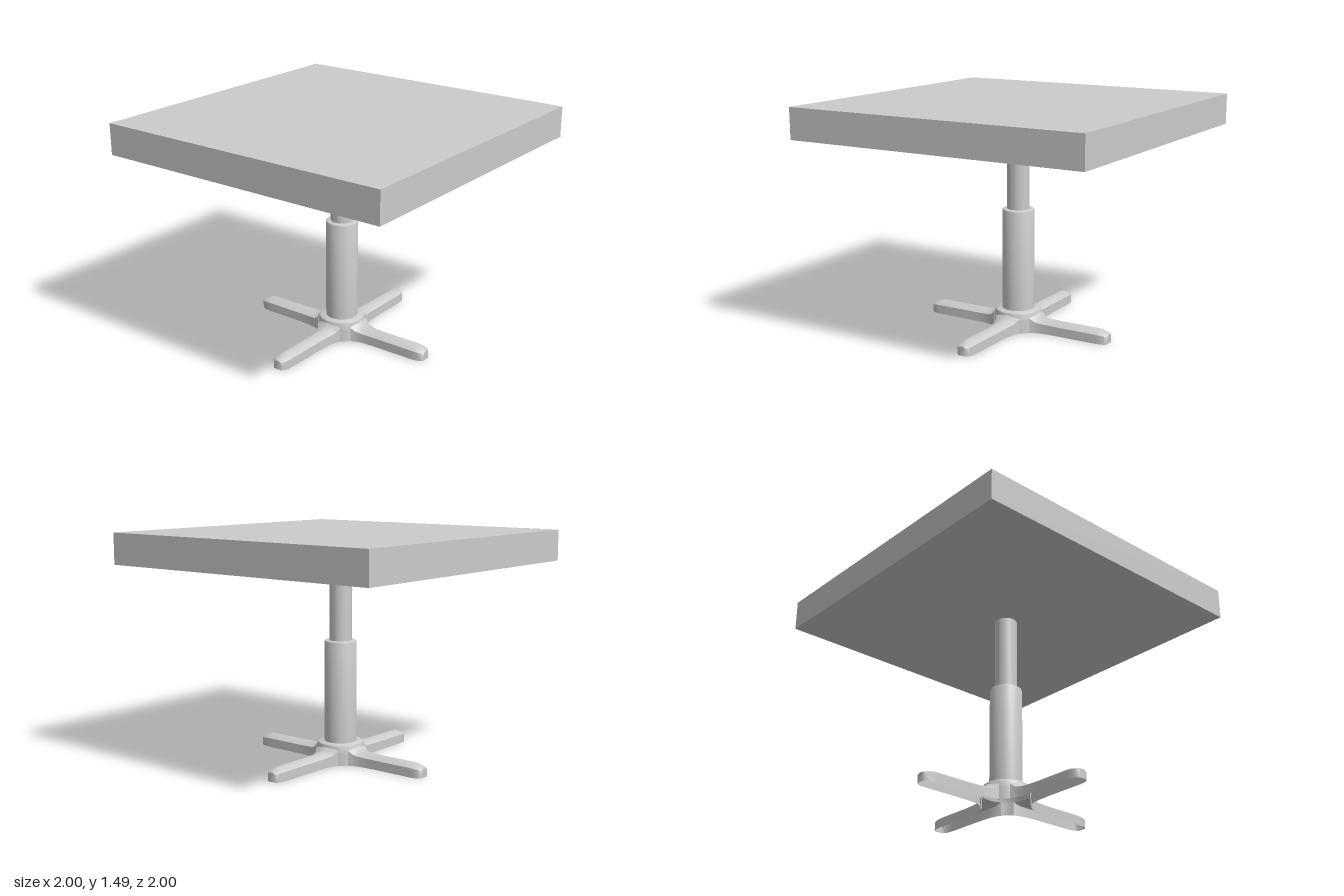
import * as THREE from 'three';
import { toCreasedNormals } from 'three/addons/utils/BufferGeometryUtils.js';

const grey = new THREE.MeshStandardMaterial({ color: 0xcccccc });
const greyShell = new THREE.MeshStandardMaterial({ color: 0xcccccc, side: THREE.DoubleSide });

function addMesh(parent, name, geometry, material = grey) {
  const mesh = new THREE.Mesh(geometry, material);
  mesh.name = name;
  parent.add(mesh);
  return mesh;
}

// Turned part from [radius, height] pairs, listed bottom to top
function turned(points, start = 0, sweep = Math.PI * 2, segments = 48) {
  const profile = points.map(([r, y]) => new THREE.Vector2(r, y));
  return toCreasedNormals(new THREE.LatheGeometry(profile, segments, start, sweep), 0.6);
}

// Foot: an open-bottomed shell lofted along +x
function footGeometry() {
  // distance from the centre, half width, side height, ridge height
  const stations = [
    [0.135, 0.088, 0.095, 0.122], [0.15, 0.08, 0.085, 0.115], [0.16, 0.075, 0.075, 0.099],
    [0.185, 0.067, 0.066, 0.09], [0.24, 0.059, 0.062, 0.087], [0.32, 0.056, 0.06, 0.087],
    [0.59, 0.055, 0.06, 0.087], [0.625, 0.051, 0.057, 0.078], [0.65, 0.042, 0.053, 0.068],
    [0.665, 0.028, 0.05, 0.06],
  ];
  const positions = [], index = [];
  for (const [x, w, side, top] of stations) {
    const shoulder = side + (top - side) * 0.62;
    const section = [[w, 0], [w, side], [w * 0.55, shoulder], [0, top],
      [-w * 0.55, shoulder], [-w, side], [-w, 0]];
    for (const [z, y] of section) positions.push(x, y, z);
  }
  const n = 7;
  for (let i = 0; i < stations.length - 1; i++) {
    for (let j = 0; j < n - 1; j++) {
      const a = i * n + j, b = a + n;
      index.push(a, b, a + 1, b, b + 1, a + 1);
    }
  }
  // blunt tip
  const tip = (stations.length - 1) * n;
  for (let j = 1; j < n - 1; j++) index.push(tip, tip + j + 1, tip + j);
  const geometry = new THREE.BufferGeometry();
  geometry.setAttribute('position', new THREE.Float32BufferAttribute(positions, 3));
  geometry.setIndex(index);
  return toCreasedNormals(geometry, 0.9);
}

export function createModel() {
  const table = new THREE.Group();
  table.name = 'pedestalTable';

  // Square top
  addMesh(table, 'tableTop', new THREE.BoxGeometry(2, 0.2, 2)).position.y = 1.39;

  // Telescoping column
  addMesh(table, 'upperColumn', turned([[0.072, 0.78], [0.072, 1.29]]));
  addMesh(table, 'lowerColumn', turned([
    [0.104, 0.13], [0.104, 0.782], [0.101, 0.791], [0.094, 0.795], [0.07, 0.795],
  ]));

  // Hollow base: a hub cap, four feet and the short walls between them
  const base = new THREE.Group();
  base.name = 'base';
  table.add(base);
  addMesh(base, 'hubCap', turned([
    [0.154, 0.085], [0.15, 0.115], [0.146, 0.128], [0.137, 0.134], [0, 0.134],
  ]), greyShell);

  const foot = footGeometry();
  const arc = 0.52;
  const wall = turned([[0.158, 0], [0.156, 0.05], [0.154, 0.086]], Math.PI / 4 - arc / 2, arc, 8);
  for (let i = 0; i < 4; i++) {
    const angle = i * Math.PI / 2;
    addMesh(base, 'foot', foot, greyShell).rotation.y = angle;
    addMesh(base, 'hubWall', wall, greyShell).rotation.y = angle;
  }
  return table;
}
